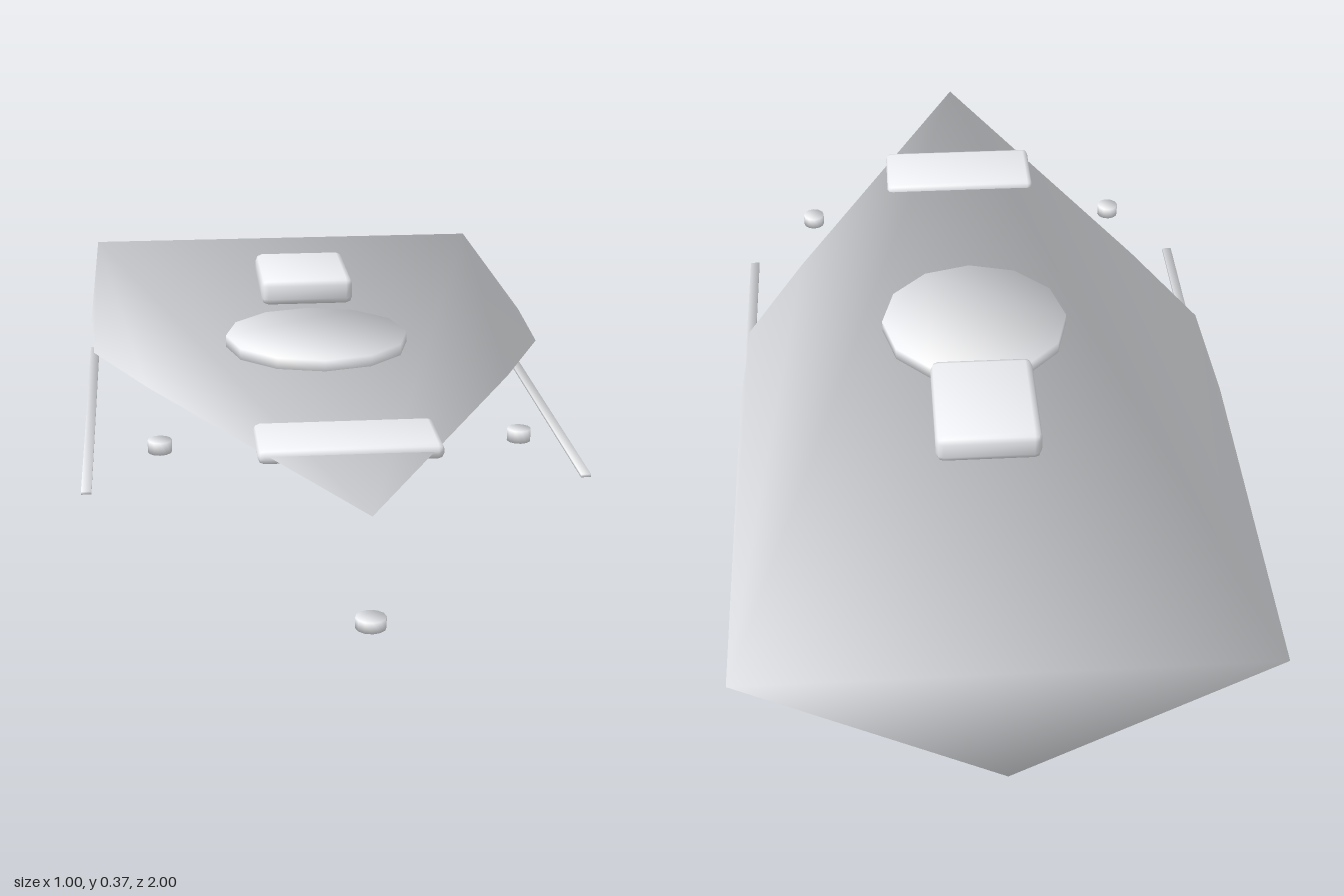
import * as THREE from 'three';
import { RoundedBoxGeometry } from 'three/addons/geometries/RoundedBoxGeometry.js';
import { mergeVertices } from 'three/addons/utils/BufferGeometryUtils.js';

const material = new THREE.MeshStandardMaterial({ color: 0xeef0f4 });

// Weld all corners and average the face normals, weighted by corner angle
function soften(source) {
  source.deleteAttribute('normal');
  source.deleteAttribute('uv');
  const geometry = mergeVertices(source, 1e-4);
  const { position } = geometry.attributes;
  const index = geometry.index.array;
  const sums = Array.from({ length: position.count }, () => new THREE.Vector3());
  for (let f = 0; f < index.length; f += 3) {
    const ids = [index[f], index[f + 1], index[f + 2]];
    const p = ids.map((i) => new THREE.Vector3().fromBufferAttribute(position, i));
    const face = new THREE.Triangle(...p);
    if (face.getArea() < 1e-9) continue;
    const normal = face.getNormal(new THREE.Vector3());
    ids.forEach((id, c) => {
      const a = p[(c + 1) % 3].clone().sub(p[c]);
      const b = p[(c + 2) % 3].clone().sub(p[c]);
      sums[id].addScaledVector(normal, a.angleTo(b));
    });
  }
  const normals = sums.flatMap((n) => n.normalize().toArray());
  geometry.setAttribute('normal', new THREE.Float32BufferAttribute(normals, 3));
  return geometry;
}

// Hull stations from stern to bow: z, half beam, deck edge height, keel height
const stations = [
  [-1, 0.487, 0.27, 0],
  [-0.25, 0.489, 0.277, 0.002],
  [0, 0.478, 0.279, 0.01],
  [0.24, 0.37, 0.281, 0.08],
];
const bow = [0, 0.29, 0.98];

// Closed V-shaped hull
function hullGeometry() {
  const positions = [];
  for (const [z, w, top, bottom] of stations) positions.push(w, top, z, 0, bottom, z, -w, top, z);
  positions.push(...bow);
  const tip = stations.length * 3;
  const index = [0, 2, tip, 0, 1, 2]; // middle of the deck, transom
  for (let i = 0; i < stations.length; i++) {
    const last = i === stations.length - 1;
    const [l, k, r] = [3 * i, 3 * i + 1, 3 * i + 2];
    const [nl, nk, nr] = last ? [tip, tip, tip] : [l + 3, k + 3, r + 3];
    // sides
    index.push(l, nl, k, r, k, nr);
    if (!last) index.push(k, nl, nk, k, nk, nr);
    // deck edges fan out from the stern corners
    if (i > 0) index.push(0, nl, l, 2, r, nr);
  }
  const geometry = new THREE.BufferGeometry();
  geometry.setAttribute('position', new THREE.Float32BufferAttribute(positions, 3));
  geometry.setIndex(index);
  return soften(geometry);
}

// Upright twelve-sided disc, centred on its own origin
function disc(radius, height) {
  const corners = Array.from({ length: 12 }, (_, i) => {
    const angle = (i * Math.PI) / 6;
    return new THREE.Vector2(radius * Math.sin(angle), radius * Math.cos(angle));
  });
  const geometry = new THREE.ExtrudeGeometry(new THREE.Shape(corners), { depth: height, bevelEnabled: false });
  return soften(geometry.translate(0, 0, -height / 2).rotateX(-Math.PI / 2));
}

function add(parent, name, geometry, x = 0, y = 0, z = 0) {
  const mesh = new THREE.Mesh(geometry, material);
  mesh.name = name;
  mesh.position.set(x, y, z);
  parent.add(mesh);
}

export function createModel() {
  const boat = new THREE.Group();
  boat.name = 'boat';
  add(boat, 'hull', hullGeometry());

  // Deck fittings
  add(boat, 'cockpitDisc', disc(0.196, 0.03), 0, 0.29, -0.015);
  add(boat, 'seat', soften(new RoundedBoxGeometry(0.206, 0.06, 0.253, 1, 0.015)), 0, 0.335, -0.357);
  add(boat, 'windshield', soften(new RoundedBoxGeometry(0.342, 0.03, 0.158, 1, 0.012)), 0, 0.284, 0.6);

  // Side rails and lamps
  for (const side of [1, -1]) {
    const label = side > 0 ? 'left' : 'right';
    add(boat, label + 'Rail', soften(new THREE.BoxGeometry(0.02, 0.006, 0.935)), side * 0.49, 0.14, -0.012);
    add(boat, label + 'Lamp', disc(0.023, 0.024), side * 0.346, 0.243, 0.483);
  }
  add(boat, 'bowLamp', disc(0.027, 0.02), 0, 0.094, 0.973);

  return boat;
}
